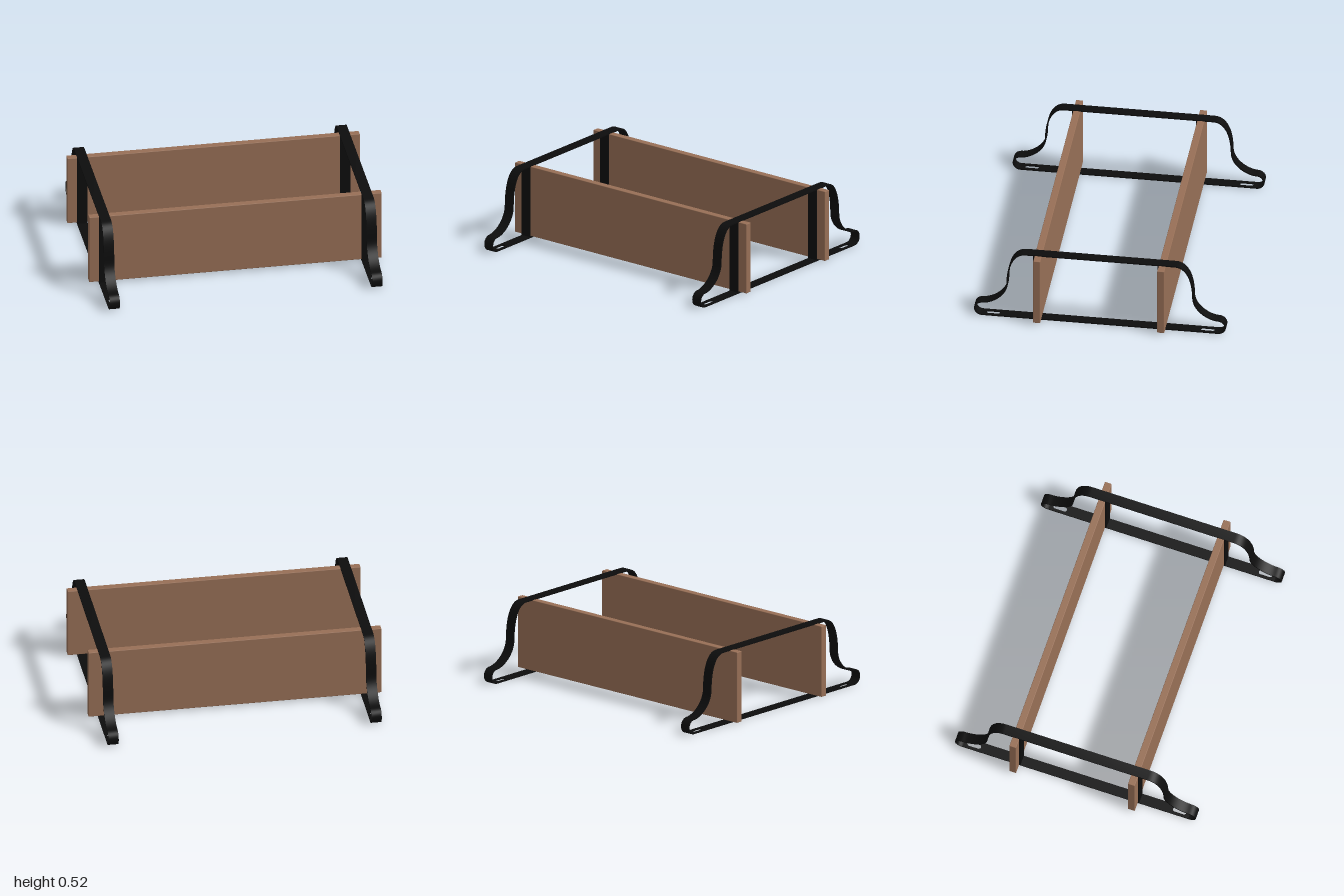
import * as THREE from 'three';
import { toCreasedNormals } from 'three/addons/utils/BufferGeometryUtils.js';
import { RoundedBoxGeometry } from 'three/addons/geometries/RoundedBoxGeometry.js';

const WIDTH = 0.07;   // strap width along x
const THICK = 0.009;  // strap thickness
const HALF = THICK / 2;
const FOOT = 0.803;   // z where the foot curl begins

// Half of the strap centreline: foot curl, concave sweep, rounded shoulder
function halfProfile() {
  const pts = [];
  const r = 0.0495, cy = HALF + r;
  for (let i = 0; i <= 14; i++) {
    const a = -Math.PI / 2 + (Math.PI * i) / 14;
    pts.push(new THREE.Vector2(FOOT + r * Math.cos(a), cy + r * Math.sin(a)));
  }
  const v = (z, y) => new THREE.Vector2(z, y);
  const sweep = new THREE.CubicBezierCurve(pts[14], v(0.74, 0.104), v(0.632, 0.17), v(0.632, 0.275));
  const shoulder = new THREE.CubicBezierCurve(v(0.632, 0.275), v(0.63, 0.41), v(0.59, 0.5115), v(0.51, 0.5115));
  pts.push(...sweep.getPoints(16).slice(1), ...shoulder.getPoints(16).slice(1));
  return pts;
}

// Flat band following a centreline in the z-y plane, extruded across x
function bandGeometry(pts) {
  const side = (s) => pts.map((p, i) => {
    const t = pts[Math.min(i + 1, pts.length - 1)].clone().sub(pts[Math.max(i - 1, 0)]).normalize();
    return new THREE.Vector2(p.x - t.y * s, p.y + t.x * s);
  });
  const shape = new THREE.Shape([...side(HALF), ...side(-HALF).reverse()]);
  const geo = new THREE.ExtrudeGeometry(shape, { depth: WIDTH, bevelEnabled: false });
  geo.translate(0, 0, -WIDTH / 2).rotateY(-Math.PI / 2);
  return toCreasedNormals(geo, 0.6);
}

// Straight floor bar with a rounded screw slot near each end
function floorBarGeometry() {
  const w = WIDTH / 2;
  const shape = new THREE.Shape([
    new THREE.Vector2(-w, -FOOT), new THREE.Vector2(w, -FOOT),
    new THREE.Vector2(w, FOOT), new THREE.Vector2(-w, FOOT),
  ]);
  for (const s of [-1, 1]) {
    const slot = new THREE.Path();
    const r = 0.016, mid = s * 0.73, reach = 0.032;
    slot.absarc(0, mid + reach, r, 0, Math.PI, false);
    slot.absarc(0, mid - reach, r, Math.PI, 2 * Math.PI, false);
    slot.closePath();
    shape.holes.push(slot);
  }
  const geo = new THREE.ExtrudeGeometry(shape, { depth: THICK, bevelEnabled: false, curveSegments: 8 });
  geo.rotateX(-Math.PI / 2);
  return toCreasedNormals(geo, 0.6);
}

export function createModel() {
  const model = new THREE.Group();
  model.name = 'plankBench';
  const wood = new THREE.MeshStandardMaterial({ color: 0x976f56 });
  wood.name = 'brown wood';
  const metal = new THREE.MeshStandardMaterial({ color: 0x0d0d0d });
  metal.name = 'black metal';

  const add = (parent, name, geo, mat, x = 0, y = 0, z = 0) => {
    const mesh = new THREE.Mesh(geo, mat);
    mesh.name = name;
    mesh.position.set(x, y, z);
    parent.add(mesh);
  };

  // Two upright planks
  const plank = new RoundedBoxGeometry(2, 0.495, 0.048, 2, 0.004);
  add(model, 'frontPlank', plank, wood, 0, 0.262, 0.421);
  add(model, 'backPlank', plank, wood, 0, 0.262, -0.423);

  // Metal frames near both ends
  const half = halfProfile();
  const mirrored = half.map((p) => new THREE.Vector2(-p.x, p.y)).reverse();
  const band = bandGeometry([...half, ...mirrored]);
  const bar = floorBarGeometry();
  const upright = new THREE.BoxGeometry(WIDTH, 0.507, THICK);
  for (const s of [-1, 1]) {
    const frame = new THREE.Group();
    frame.name = s > 0 ? 'leftFrame' : 'rightFrame';
    frame.position.x = s * 0.898;
    add(frame, 'curvedBand', band, metal);
    add(frame, 'floorBar', bar, metal);
    add(frame, 'frontUpright', upright, metal, 0, 0.258, 0.4495);
    add(frame, 'backUpright', upright, metal, 0, 0.258, -0.3945);
    model.add(frame);
  }
  return model;
}
